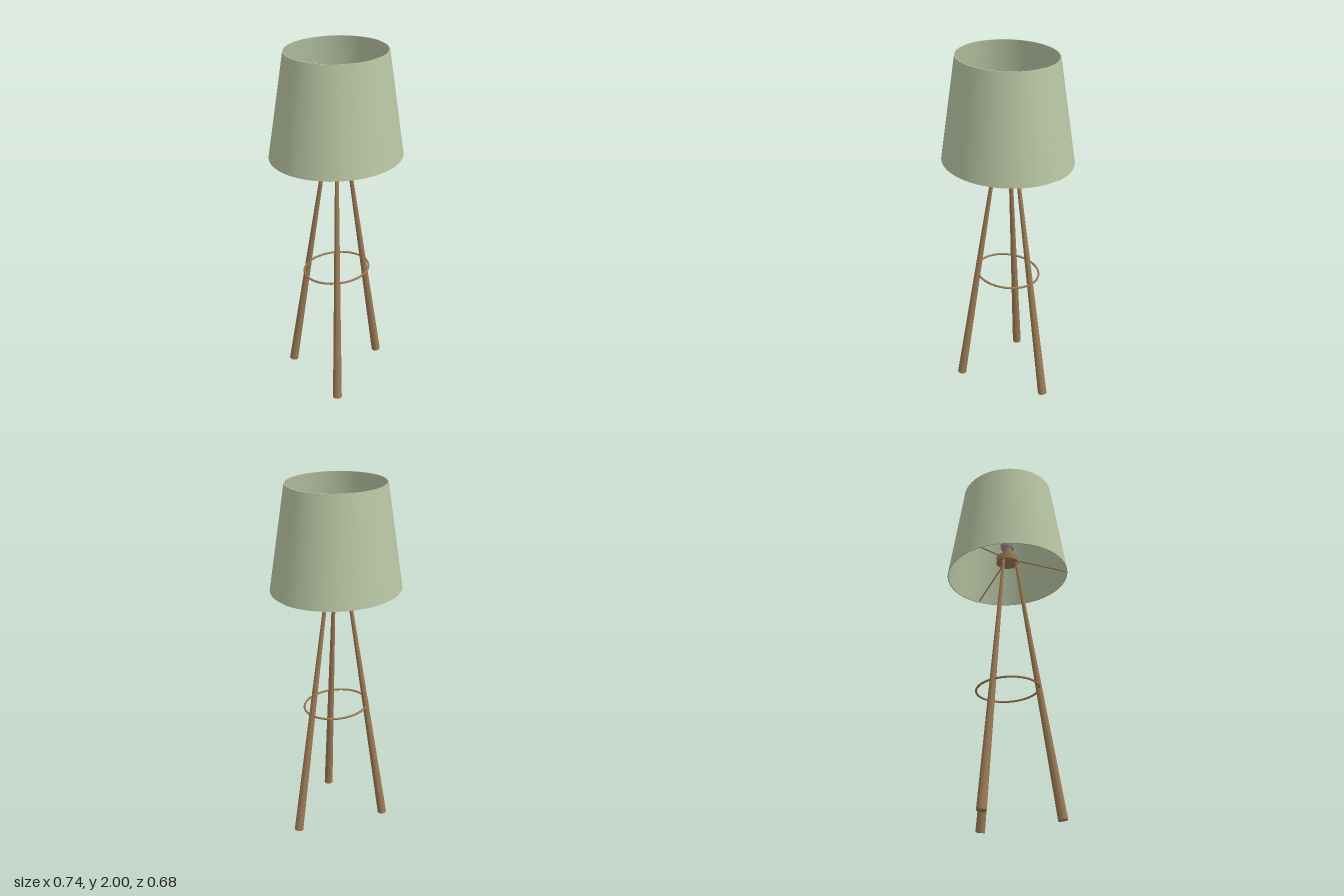
import * as THREE from 'three';
import { toCreasedNormals } from 'three/addons/utils/BufferGeometryUtils.js';

const V = (x, y, z) => new THREE.Vector3(x, y, z);
const UP = V(0, 1, 0);

function material(name, color, extra = {}) {
  const m = new THREE.MeshStandardMaterial({ color, ...extra });
  m.name = name;
  return m;
}

// Tapered round bar between two points
function bar(a, b, rA, rB, sides) {
  const dir = b.clone().sub(a);
  const geo = new THREE.CylinderGeometry(rB, rA, dir.length(), sides);
  geo.applyQuaternion(new THREE.Quaternion().setFromUnitVectors(UP, dir.clone().normalize()));
  const mid = a.clone().add(b).multiplyScalar(0.5);
  return geo.translate(mid.x, mid.y, mid.z);
}

// Oval rolled sheet whose ends overlap slightly at +x
function shadeGeometry() {
  const t = 0.005, y0 = 1.435, y1 = 2, r0 = 0.372, r1 = 0.279;
  const profile = [[r0 - t, y0], [r0, y0], [r1, y1], [r1 - t, y1], [r0 - t, y0]]
    .map(([r, y]) => new THREE.Vector2(r, y));
  const segments = 72;
  const geo = new THREE.LatheGeometry(profile, segments, Math.PI / 2);
  const p = geo.attributes.position;
  for (let i = 0; i < p.count; i++) {
    const k = 1 - 0.015 * Math.floor(i / profile.length) / segments;
    p.setX(i, p.getX(i) * k);
    p.setZ(i, p.getZ(i) * k * 0.925);
  }
  return toCreasedNormals(geo, 0.7);
}

export function createModel() {
  const group = new THREE.Group();
  const wood = material('wood', 0x9c7b56);
  const fabric = material('shade fabric', 0xb7c4a2, { side: THREE.DoubleSide });
  const metal = material('socket metal', 0x8e9192);
  const glass = material('bulb glass', 0xd6d4c8);
  const add = (name, geo, mat) => {
    const mesh = new THREE.Mesh(geo, mat);
    mesh.name = name;
    group.add(mesh);
    return mesh;
  };

  add('shade', shadeGeometry(), fabric);

  // Three splayed legs, each with a thin spoke running out to the shade
  const feet = [[0.31, 0], [-0.163, 0.23], [-0.163, -0.23]];
  for (const [x, z] of feet) {
    const top = V(x * 0.17, 1.54, z * 0.17);
    add('leg', toCreasedNormals(bar(V(x, 0.008, z), top, 0.026, 0.008, 12), 0.4), wood);
    const n = V(x, 0, z).normalize();
    const reach = x > 0 ? 0.362 : 0.343;
    add('shadeSpoke', bar(V(n.x * 0.05, 1.54, n.z * 0.05),
      V(n.x * reach, 1.445, n.z * reach), 0.004, 0.004, 8), wood);
  }

  // Oval hoop tying the legs together
  const hoop = new THREE.CatmullRomCurve3(Array.from({ length: 32 }, (_, i) => {
    const a = i / 32 * Math.PI * 2;
    return V(0.194 * Math.cos(a), 0.726, 0.165 * Math.sin(a));
  }), true);
  add('hoop', new THREE.TubeGeometry(hoop, 72, 0.006, 8, true), wood);

  // Hub and stem
  add('hub', new THREE.CylinderGeometry(0.065, 0.065, 0.036, 32), wood).position.y = 1.543;
  add('stem', new THREE.CylinderGeometry(0.027, 0.027, 0.07, 24), wood).position.y = 1.595;

  // Socket and bulb
  const socket = [[0, 1.62], [0.036, 1.62], [0.042, 1.64], [0.042, 1.67], [0.038, 1.69], [0.028, 1.705], [0, 1.705]];
  add('socket', toCreasedNormals(new THREE.LatheGeometry(
    socket.map(([r, y]) => new THREE.Vector2(r, y)), 32), 0.8), metal);
  const bulb = [[0.028, 1.70], [0.028, 1.74], [0.025, 1.755], [0.016, 1.764], [0, 1.767]];
  add('bulb', new THREE.LatheGeometry(bulb.map(([r, y]) => new THREE.Vector2(r, y)), 32), glass);

  return group;
}
